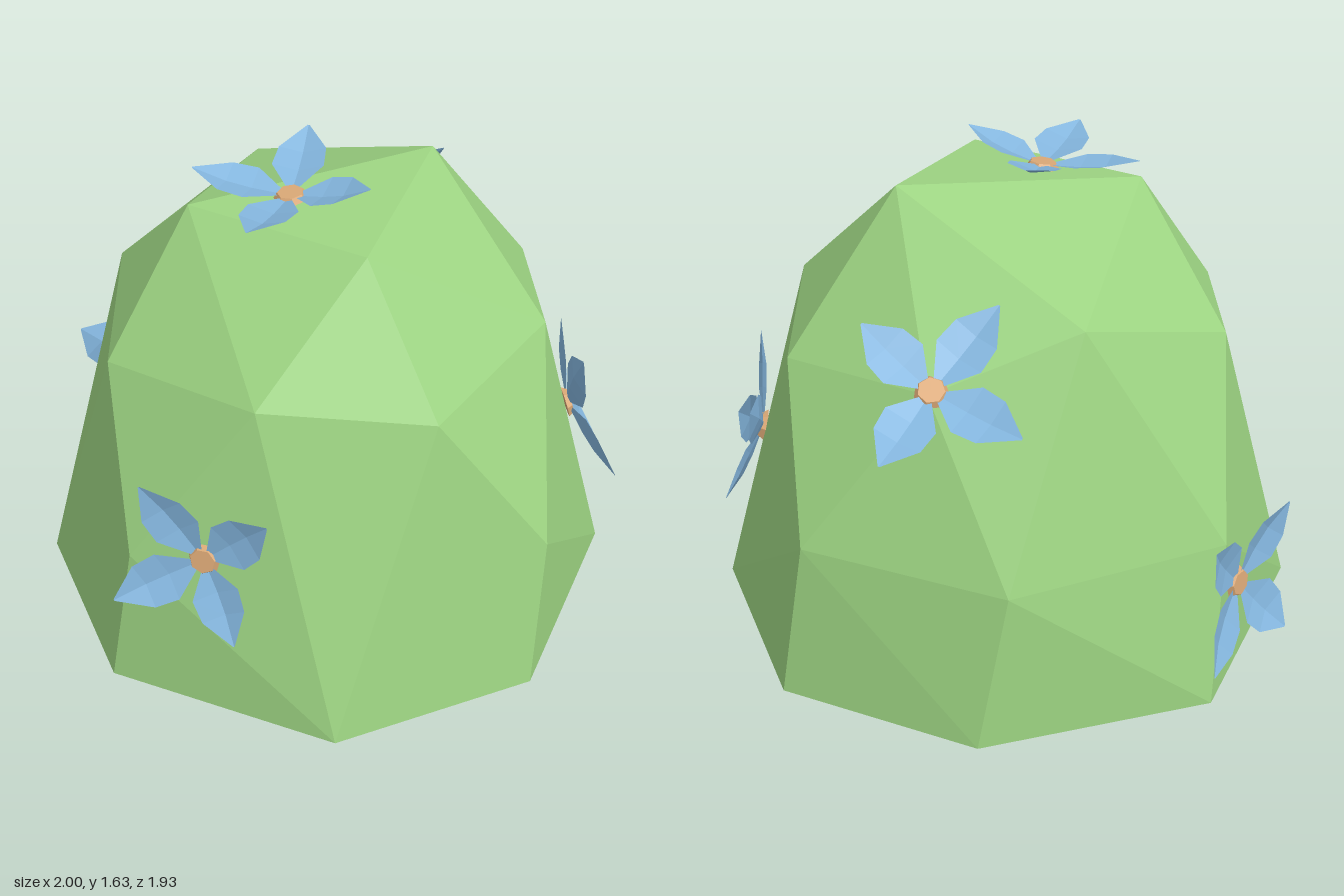
import * as THREE from 'three';
import { ConvexGeometry } from 'three/addons/geometries/ConvexGeometry.js';

const V = (x, y, z) => new THREE.Vector3(x, y, z);

// Faceted dome: hull of a few rings of corners, left open underneath
function domeGeometry() {
  const baseRing = [[0.2, -0.97], [0.81, -0.62], [1, 0.08], [0.58, 0.78], [-0.11, 0.96], [-0.81, 0.55], [-1, -0.14], [-0.58, -0.84]]
    .map(([x, z]) => V(x, 0, z));
  const lowRing = [V(0.62, 0.53, 0.69), V(-0.72, 0.54, 0.57), V(-0.62, 0.55, -0.73), V(0.1, 0.56, -0.95), V(0.72, 0.57, -0.63)];
  const highRing = [V(0.67, 1.12, 0.28), V(0.24, 1.06, 0.7), V(-0.31, 1.12, 0.64), V(-0.74, 1.05, 0.21),
    V(-0.67, 1.11, -0.35), V(-0.16, 1.31, -0.67), V(0.31, 1.12, -0.66), V(0.73, 1.06, -0.27)];
  const crown = [V(0.36, 1.57, -0.12), V(0.06, 1.5, 0.42), V(-0.45, 1.5, 0.03)];
  const hull = new ConvexGeometry([...baseRing, ...lowRing, ...highRing, ...crown]);

  // Drop the faces lying on the ground
  const p = hull.attributes.position;
  const kept = [];
  for (let i = 0; i < p.count; i += 3) {
    if (Math.max(p.getY(i), p.getY(i + 1), p.getY(i + 2)) < 0.01) continue;
    for (let k = i; k < i + 3; k++) kept.push(p.getX(k), p.getY(k), p.getZ(k));
  }
  const geo = new THREE.BufferGeometry();
  geo.setAttribute('position', new THREE.Float32BufferAttribute(kept, 3));
  geo.computeVertexNormals();
  return geo;
}

// Petal along +x, folded on its midline and curling towards +z
function petalGeometry(length) {
  const rows = [[0.1, 0.018, 0], [0.4, 0.085, 0.012], [0.66, 0.078, 0.03], [1, 0.003, 0.07]]; // reach, half width, lift
  const pos = [];
  const index = [];
  rows.forEach(([t, w, h], i) => {
    const fold = w * 0.25;
    pos.push(t * length, -w, h + fold, t * length, 0, h, t * length, w, h + fold);
    if (i === 0) return;
    for (let k = 0; k < 2; k++) {
      const a = (i - 1) * 3 + k, b = i * 3 + k;
      index.push(a, b, b + 1, a, b + 1, a + 1);
    }
  });
  const geo = new THREE.BufferGeometry();
  geo.setAttribute('position', new THREE.Float32BufferAttribute(pos, 3));
  geo.setIndex(index);
  const flat = geo.toNonIndexed();
  flat.computeVertexNormals();
  return flat;
}

export function createModel() {
  const leafGreen = new THREE.MeshStandardMaterial({ color: 0x9dd482, flatShading: true, side: THREE.DoubleSide });
  leafGreen.name = 'leafGreen';
  const petalBlue = new THREE.MeshStandardMaterial({ color: 0x84b6de, flatShading: true, side: THREE.DoubleSide });
  petalBlue.name = 'petalBlue';
  const centrePeach = new THREE.MeshStandardMaterial({ color: 0xdaa876, flatShading: true, side: THREE.DoubleSide });
  centrePeach.name = 'centrePeach';

  const model = new THREE.Group();
  model.name = 'floweringBush';
  const add = (parent, geo, mat, name) => {
    const mesh = new THREE.Mesh(geo, mat);
    mesh.name = name;
    parent.add(mesh);
    return mesh;
  };

  add(model, domeGeometry(), leafGreen, 'bushDome');

  // One flower: four slightly uneven petals around a small centre
  const petals = [[42, 0.3], [127, 0.32], [212, 0.32], [299, 0.28]]
    .map(([angle, length]) => ({ angle, geo: petalGeometry(length) }));
  const centreGeo = new THREE.CylinderGeometry(0.042, 0.055, 0.02, 7).rotateX(Math.PI / 2);

  function addFlower(name, position, normal, up, spin) {
    const flower = new THREE.Group();
    flower.name = name;
    const n = normal.clone().normalize();
    const right = up.clone().cross(n).normalize();
    flower.quaternion.setFromRotationMatrix(new THREE.Matrix4().makeBasis(right, n.clone().cross(right), n));
    flower.position.copy(position);
    for (const { angle, geo } of petals) {
      add(flower, geo, petalBlue, 'petal').rotation.z = THREE.MathUtils.degToRad(angle + spin);
    }
    add(flower, centreGeo, centrePeach, 'flowerCentre');
    model.add(flower);
  }

  const Y = V(0, 1, 0), back = V(0, 0, -1);
  addFlower('frontFlower', V(-0.49, 0.6, 0.69), V(-0.41, 0.2, 0.89), Y, 0);
  addFlower('leftFlower', V(0.845, 0.62, 0.06), V(0.96, 0.28, 0.02), Y, -6);
  addFlower('rearFlower', V(-0.67, 0.4, -0.73), V(-0.68, 0.12, -0.72), Y, 5);
  addFlower('shoulderFlower', V(0.3, 1.15, -0.69), V(0.05, 0.8, -0.6), back, 12);
  addFlower('topFlower', V(-0.13, 1.54, 0.08), V(-0.1, 0.99, 0.05), back, 28);
  return model;
}
